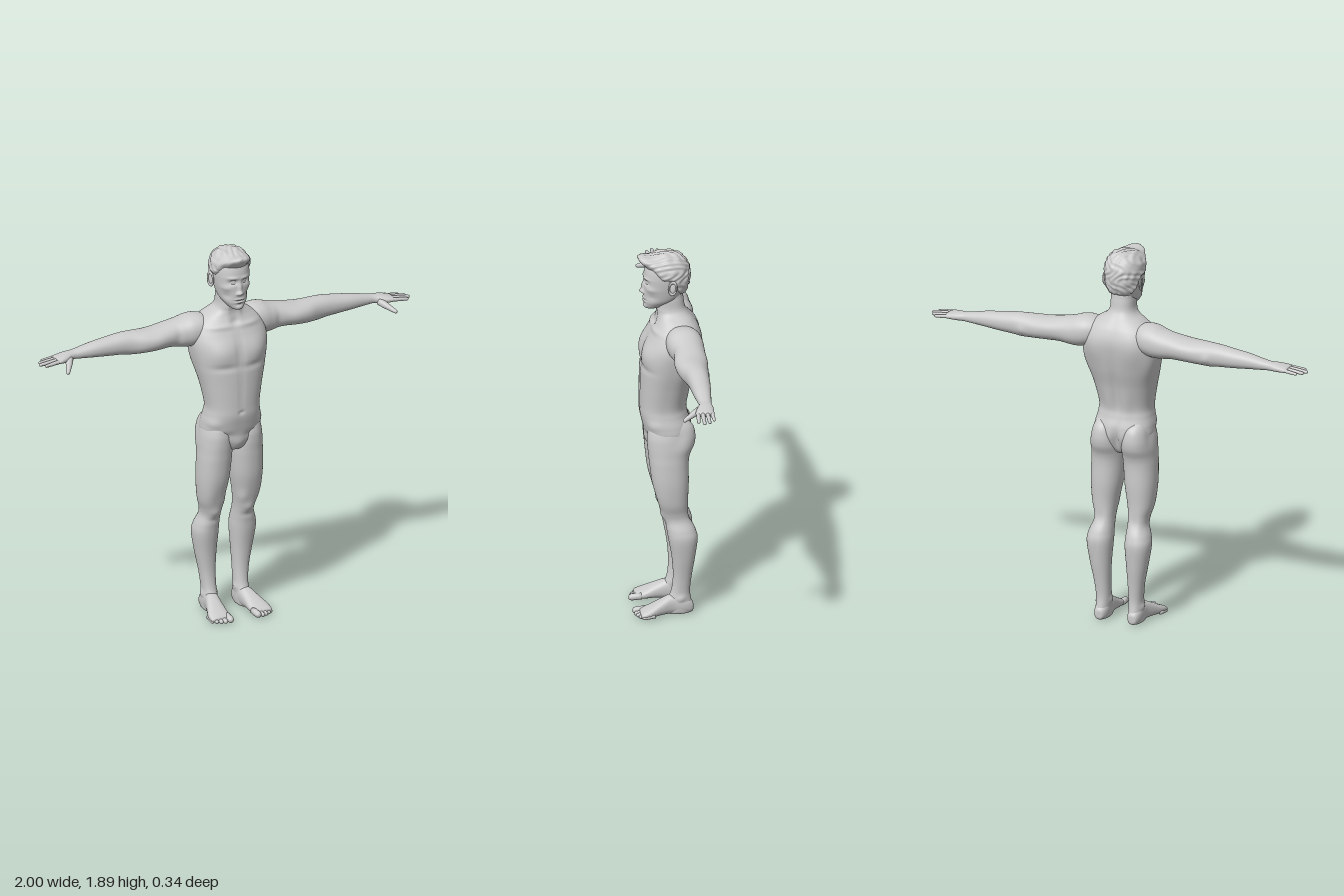
import * as THREE from 'three';

const skin = new THREE.MeshStandardMaterial({ color: 0xcccccc, roughness: 0.8 });

// Uniform Catmull-Rom through rows of numbers
function smoothRows(rows, per) {
  const out = [], n = rows.length - 1;
  for (let s = 0; s <= n * per; s++) {
    const i = Math.min(Math.floor(s / per), n - 1), t = s / per - i;
    const [a, b, c, d] = [-1, 0, 1, 2].map(k => rows[Math.min(Math.max(i + k, 0), n)]);
    out.push(b.map((_, k) => 0.5 * (2 * b[k] + (c[k] - a[k]) * t +
      (2 * a[k] - 5 * b[k] + 4 * c[k] - d[k]) * t * t +
      (3 * b[k] - a[k] - 3 * c[k] + d[k]) * t * t * t)));
  }
  return out;
}

// Skin over rounded cross-sections: [position on axis, centre A, half A, max B, min B]
function loft(axis, rows, { segs = 40, per = 6, power = 2.2 } = {}) {
  const rings = smoothRows(rows, per), pos = [], idx = [];
  const bend = v => Math.sign(v) * Math.abs(v) ** (2 / power);
  for (const [t, ca, ha, b1, b0] of rings) {
    for (let j = 0; j < segs; j++) {
      const w = j / segs * Math.PI * 2 * (axis === 'y' ? 1 : -1);
      const a = ca + Math.max(ha, 0) * bend(Math.cos(w));
      const b = (b1 + b0) / 2 + (b1 - b0) / 2 * bend(Math.sin(w));
      if (axis === 'y') pos.push(a, t, b);
      else if (axis === 'x') pos.push(t, a, b);
      else pos.push(a, b, t);
    }
  }
  for (let i = 0; i < rings.length - 1; i++) {
    for (let j = 0; j < segs; j++) {
      const a = i * segs + j, b = i * segs + (j + 1) % segs;
      idx.push(a, a + segs, b, b, a + segs, b + segs);
    }
  }
  const g = new THREE.BufferGeometry();
  g.setAttribute('position', new THREE.Float32BufferAttribute(pos, 3));
  g.setIndex(idx);
  g.computeVertexNormals();
  return g;
}

// Push vertices along their normals by a rule
function displace(g, rule) {
  const p = g.attributes.position, n = g.attributes.normal;
  for (let i = 0; i < p.count; i++) {
    const x = p.getX(i), y = p.getY(i), z = p.getZ(i), d = rule(x, y, z);
    p.setXYZ(i, x + n.getX(i) * d, y + n.getY(i) * d, z + n.getZ(i) * d);
  }
  g.computeVertexNormals();
  return g;
}

// Soft symmetric muscles and hollows: [x, y, z, rx, ry, rz, height]
const sculpt = (g, bumps) => displace(g, (x, y, z) => bumps.reduce((s, [bx, by, bz, rx, ry, rz, h]) =>
  s + h * Math.exp(-(((Math.abs(x) - bx) / rx) ** 2) - ((y - by) / ry) ** 2 - ((z - bz) / rz) ** 2), 0));

// Tapered round-ended finger or toe
function digit(from, to, r0, r1) {
  const a = new THREE.Vector3(...from), d = new THREE.Vector3(...to).sub(a), L = d.length();
  const pts = [new THREE.Vector2(0, 0), new THREE.Vector2(r0, 0.001), new THREE.Vector2(r0 * 0.95, L * 0.3),
    new THREE.Vector2((r0 + r1) / 2 * 1.04, L * 0.52), new THREE.Vector2(r1, L - r1)];
  for (let k = 1; k <= 4; k++) {
    const w = k / 4 * Math.PI / 2;
    pts.push(new THREE.Vector2(k === 4 ? 0 : r1 * Math.cos(w), L - r1 + r1 * Math.sin(w)));
  }
  const g = new THREE.LatheGeometry(pts, 14);
  g.applyQuaternion(new THREE.Quaternion().setFromUnitVectors(new THREE.Vector3(0, 1, 0), d.normalize()));
  return g.translate(a.x, a.y, a.z);
}

function mirrored(g) {
  const m = g.clone().scale(-1, 1, 1), i = m.index.array;
  for (let k = 0; k < i.length; k += 3) [i[k], i[k + 1]] = [i[k + 1], i[k]];
  m.computeVertexNormals();
  return m;
}

// Skull, shared by the head and the hair
const skull = () => loft('y', [
  [1.595, 0, 0, 0.08, 0.07], [1.6, 0, 0.028, 0.1, 0.03], [1.625, 0, 0.052, 0.107, -0.02],
  [1.65, 0, 0.067, 0.108, -0.06], [1.69, 0, 0.077, 0.108, -0.09], [1.73, 0, 0.084, 0.108, -0.105],
  [1.77, 0, 0.087, 0.107, -0.108], [1.81, 0, 0.084, 0.1, -0.104], [1.84, 0, 0.073, 0.085, -0.09],
  [1.862, 0, 0.052, 0.058, -0.066], [1.871, 0, 0.025, 0.025, -0.035], [1.873, 0, 0, -0.004, -0.006],
], { segs: 96, per: 11 });

export function createModel() {
  const model = new THREE.Group();
  const add = (name, g) => {
    const m = new THREE.Mesh(g, skin);
    m.name = name;
    model.add(m);
  };
  const pair = (name, g) => { add(name + 'Left', g); add(name + 'Right', mirrored(g)); };

  // Torso and neck
  add('torso', sculpt(loft('y', [
    [0.85, 0, 0, 0, -0.03], [0.862, 0, 0.045, 0.07, -0.07], [0.9, 0, 0.115, 0.093, -0.1],
    [0.95, 0, 0.147, 0.106, -0.12], [1.0, 0, 0.147, 0.118, -0.118], [1.05, 0, 0.138, 0.128, -0.1],
    [1.1, 0, 0.135, 0.129, -0.093], [1.2, 0, 0.154, 0.128, -0.116], [1.3, 0, 0.178, 0.124, -0.146],
    [1.4, 0, 0.195, 0.11, -0.165], [1.46, 0, 0.19, 0.088, -0.168], [1.51, 0, 0.165, 0.062, -0.153],
    [1.545, 0, 0.12, 0.045, -0.13], [1.572, 0, 0.078, 0.042, -0.108], [1.6, 0, 0.062, 0.047, -0.093],
    [1.65, 0, 0.058, 0.045, -0.085], [1.69, 0, 0.05, 0.03, -0.075], [1.7, 0, 0, -0.02, -0.03],
  ], { segs: 80, per: 9, power: 2.35 }), [
    [0.085, 1.375, 0.1, 0.065, 0.055, 0.07, 0.014],   // chest
    [0, 1.39, 0.11, 0.014, 0.09, 0.06, -0.006],
    [0.08, 1.305, 0.12, 0.07, 0.014, 0.06, -0.007],
    [0, 1.18, 0.13, 0.01, 0.12, 0.04, -0.004],        // belly
    [0, 1.07, 0.13, 0.009, 0.01, 0.03, -0.008],
    [0.12, 1.01, 0.07, 0.03, 0.025, 0.05, 0.006],
    [0.075, 0.945, 0.1, 0.04, 0.018, 0.05, -0.006],
    [0, 0.905, 0.09, 0.03, 0.035, 0.04, 0.01],
    [0.07, 1.5, 0.06, 0.07, 0.012, 0.05, 0.007],      // collarbones
    [0, 1.52, 0.06, 0.018, 0.018, 0.04, -0.01],
    [0, 1.25, -0.13, 0.017, 0.22, 0.06, -0.012],      // back
    [0.1, 1.42, -0.14, 0.06, 0.08, 0.06, 0.009],
    [0.045, 1.12, -0.09, 0.025, 0.09, 0.04, 0.007],
    [0.165, 1.34, -0.09, 0.04, 0.08, 0.05, 0.008],
    [0, 0.935, -0.12, 0.013, 0.06, 0.06, -0.022],
    [0.03, 1.57, 0.04, 0.012, 0.05, 0.04, 0.004],
  ]));

  // Legs
  pair('leg', sculpt(loft('y', [
    [0, 0.088, 0, -0.03, -0.06], [0.004, 0.088, 0.028, 0.01, -0.11], [0.03, 0.088, 0.035, 0.02, -0.122],
    [0.07, 0.087, 0.035, 0.005, -0.113], [0.12, 0.086, 0.035, -0.016, -0.107], [0.2, 0.09, 0.04, -0.024, -0.115],
    [0.3, 0.097, 0.052, -0.017, -0.13], [0.4, 0.101, 0.063, 0, -0.142], [0.45, 0.098, 0.059, 0.008, -0.132],
    [0.5, 0.09, 0.049, 0.02, -0.11], [0.54, 0.09, 0.051, 0.033, -0.1], [0.6, 0.094, 0.063, 0.05, -0.096],
    [0.7, 0.09, 0.077, 0.077, -0.1], [0.8, 0.085, 0.081, 0.09, -0.1], [0.85, 0.082, 0.081, 0.095, -0.108],
    [0.9, 0.081, 0.08, 0.1, -0.129], [0.95, 0.081, 0.074, 0.1, -0.133], [1.0, 0.082, 0.057, 0.085, -0.118],
    [1.035, 0.085, 0.03, 0.03, -0.07], [1.04, 0.085, 0, 0, -0.02],
  ], { segs: 48, per: 7 }), [
    [0.09, 0.53, 0.03, 0.024, 0.024, 0.03, 0.006],    // kneecap
    [0.09, 0.485, 0.02, 0.04, 0.014, 0.03, -0.004],
    [0.055, 0.59, 0.03, 0.022, 0.035, 0.04, 0.006],
    [0.13, 0.63, 0.03, 0.025, 0.06, 0.04, 0.004],
    [0.09, 0.52, -0.1, 0.02, 0.04, 0.03, -0.006],
    [0.098, 0.37, -0.14, 0.007, 0.06, 0.03, -0.004],  // calf
    [0.122, 0.085, -0.06, 0.02, 0.016, 0.02, 0.007],  // ankle
    [0.05, 0.095, -0.05, 0.02, 0.016, 0.02, 0.006],
    [0.15, 0.95, -0.05, 0.03, 0.04, 0.03, -0.006],
  ]));

  // Feet and toes
  pair('foot', loft('z', [
    [-0.123, 0.088, 0, 0.04, 0.03], [-0.117, 0.088, 0.022, 0.06, 0.006], [-0.08, 0.088, 0.035, 0.09, 0],
    [-0.02, 0.09, 0.036, 0.1, 0.002], [0.035, 0.1, 0.043, 0.079, 0.003], [0.085, 0.109, 0.052, 0.054, 0.001],
    [0.12, 0.112, 0.052, 0.038, 0.002], [0.135, 0.112, 0.045, 0.03, 0.006], [0.14, 0.112, 0, 0.02, 0.016],
  ], { segs: 36, power: 2.4 }));
  [[0.073, 0.172, 0.016], [0.099, 0.166, 0.011], [0.119, 0.159, 0.0105], [0.138, 0.148, 0.01], [0.155, 0.134, 0.0095]]
    .forEach(([x, z, r], i) => pair('toe' + (i + 1), digit([x - 0.002, r + 0.006, z - 0.065], [x + 0.002, r, z], r * 1.05, r)));

  // Arms running into the palms
  pair('arm', sculpt(loft('x', [
    [0.08, 1.475, 0, -0.05, -0.07], [0.09, 1.475, 0.05, 0, -0.12], [0.14, 1.474, 0.072, 0.018, -0.15],
    [0.19, 1.468, 0.079, 0.018, -0.158], [0.24, 1.462, 0.071, 0.006, -0.158], [0.3, 1.46, 0.061, -0.004, -0.155],
    [0.38, 1.452, 0.056, 0, -0.153], [0.44, 1.45, 0.056, -0.006, -0.15], [0.5, 1.45, 0.057, -0.024, -0.145],
    [0.55, 1.452, 0.053, -0.033, -0.142], [0.62, 1.45, 0.046, -0.04, -0.138], [0.7, 1.448, 0.037, -0.046, -0.13],
    [0.77, 1.444, 0.027, -0.055, -0.122], [0.81, 1.442, 0.022, -0.058, -0.118], [0.845, 1.44, 0.021, -0.045, -0.122],
    [0.88, 1.437, 0.018, -0.032, -0.121], [0.905, 1.435, 0.013, -0.032, -0.118], [0.912, 1.435, 0, -0.06, -0.09],
  ], { segs: 40, per: 7 }), [
    [0.36, 1.46, 0, 0.06, 0.03, 0.03, 0.005],         // upper arm
    [0.27, 1.46, 0, 0.02, 0.05, 0.04, -0.005],
    [0.36, 1.47, -0.15, 0.06, 0.03, 0.03, 0.004],
    [0.49, 1.44, -0.145, 0.02, 0.018, 0.02, 0.005],   // elbow
    [0.865, 1.415, -0.075, 0.02, 0.02, 0.018, -0.005],
    [0.845, 1.42, -0.045, 0.03, 0.02, 0.02, 0.005],
  ]));

  // Fingers and thumb
  [[-0.109, 0.965, -0.112, 0.0095], [-0.087, 0.99, -0.087, 0.0105], [-0.064, 1.0, -0.061, 0.011], [-0.043, 0.98, -0.034, 0.0105]]
    .forEach(([z0, x1, z1, r], i) => pair('finger' + (i + 1), digit([0.885, 1.437, z0], [x1, 1.428, z1], r, r * 0.75)));
  pair('thumb', digit([0.835, 1.432, -0.06], [0.888, 1.396, 0.029], 0.018, 0.0095));

  // Head and face
  add('head', sculpt(skull(), [
    [0, 1.71, 0.11, 0.009, 0.025, 0.05, 0.012],       // nose
    [0, 1.686, 0.11, 0.011, 0.011, 0.05, 0.018],
    [0.013, 1.681, 0.11, 0.007, 0.007, 0.05, 0.007],
    [0.032, 1.741, 0.1, 0.018, 0.012, 0.04, -0.013],  // eye sockets and brows
    [0.03, 1.762, 0.1, 0.026, 0.008, 0.05, 0.005],
    [0, 1.652, 0.11, 0.02, 0.005, 0.05, 0.006],       // lips and chin
    [0, 1.645, 0.11, 0.024, 0.003, 0.05, -0.006],
    [0, 1.637, 0.11, 0.017, 0.005, 0.05, 0.006],
    [0, 1.625, 0.11, 0.02, 0.006, 0.05, -0.004],
    [0, 1.609, 0.1, 0.018, 0.011, 0.04, 0.006],
    [0.058, 1.71, 0.08, 0.02, 0.014, 0.04, 0.005],    // cheeks
    [0.055, 1.668, 0.07, 0.018, 0.018, 0.04, -0.005],
  ]));
  pair('eye', new THREE.SphereGeometry(0.0125, 20, 14).scale(1.2, 0.75, 1).translate(0.032, 1.741, 0.081));
  const ear = g => g.rotateY(1.25).rotateX(-0.12).translate(0.09, 1.728, -0.024);
  pair('ear', ear(new THREE.SphereGeometry(1, 20, 14).scale(0.018, 0.034, 0.007)));
  pair('earRim', ear(new THREE.TorusGeometry(0.018, 0.0045, 8, 28).scale(1, 1.75, 1.2).translate(0, 0.002, 0.004)));

  // Short tousled hair, sunk into the skull below the hairline
  const { smoothstep } = THREE.MathUtils;
  add('hair', displace(skull(), (x, y, z) => {
    const line = 1.67 + 0.09 * smoothstep(z, -0.075, -0.015) + 0.055 * smoothstep(z, 0.01, 0.08);
    const grown = smoothstep(y, line - 0.008, line + 0.022);
    const tuft = Math.sin(150 * x + 40 * z + 3 * Math.sin(60 * y)) * Math.sin(70 * z + 90 * y + 2 * Math.sin(55 * x));
    const fringe = 0.05 * Math.exp(-((x / 0.055) ** 2) - ((y - 1.832) / 0.02) ** 2 - ((z - 0.095) / 0.04) ** 2);
    return -0.006 + grown * (0.016 + 0.004 * tuft + fringe);
  }));

  return model;
}
